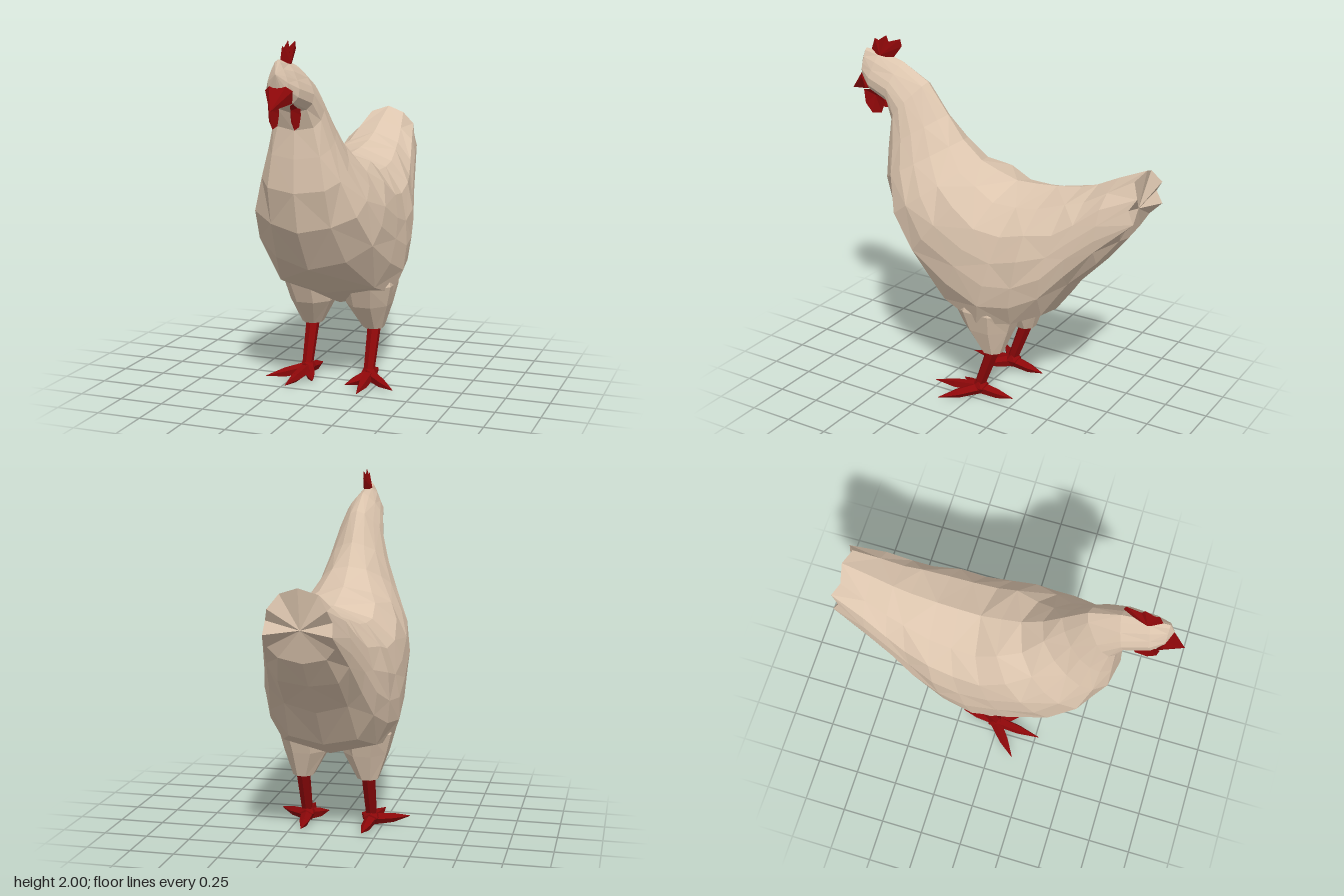
import * as THREE from 'three';
import { ConvexGeometry } from 'three/addons/geometries/ConvexGeometry.js';

const V = (x, y, z) => new THREE.Vector3(x, y, z);
const feather = new THREE.MeshStandardMaterial({ color: 0xdcc5ae });
feather.name = 'featherCream';
const red = new THREE.MeshStandardMaterial({ color: 0x8e0709 });
red.name = 'combRed';

// Faceted geometry from a list of triangle corners
function faceted(points) {
  const g = new THREE.BufferGeometry().setFromPoints(points);
  g.computeVertexNormals();
  return g;
}

function part(name, geometry, material) {
  let g = geometry;
  if (g.index) { g = g.toNonIndexed(); g.computeVertexNormals(); }
  const m = new THREE.Mesh(g, material);
  m.name = name;
  return m;
}

// Skin through closed rings of equal length, with end caps
function loft(rings, capStart, capEnd) {
  const out = [], n = rings[0].length;
  for (let i = 0; i < rings.length - 1; i++) {
    for (let j = 0; j < n; j++) {
      const k = (j + 1) % n;
      const a = rings[i][j], b = rings[i][k], c = rings[i + 1][k], d = rings[i + 1][j];
      // alternate the diagonals, symmetric across the middle
      const h = j < n / 2 ? j : n - 1 - j;
      if (((i + h) % 2 === 0) === (j < n / 2)) out.push(a, b, c, a, c, d);
      else out.push(a, b, d, b, c, d);
    }
  }
  const last = rings[rings.length - 1];
  for (let j = 0; j < n; j++) {
    const k = (j + 1) % n;
    out.push(capStart, rings[0][k], rings[0][j], capEnd, last[j], last[k]);
  }
  return faceted(out);
}

// Thin lens: outline in (z, y), swelling to +-half around a hub
function lens(outline, x, half, hubZ, hubY) {
  const out = [], p = outline.map(([z, y]) => V(x, y, z));
  const l = V(x + half, hubY, hubZ), r = V(x - half, hubY, hubZ);
  p.forEach((a, j) => {
    const b = p[(j + 1) % p.length];
    out.push(l, b, a, r, a, b);
  });
  return faceted(out);
}

// Tapered limb between two points
function limb(a, b, ra, rb, sides) {
  const d = b.clone().sub(a);
  const g = new THREE.CylinderGeometry(rb, ra, d.length(), sides);
  g.applyQuaternion(new THREE.Quaternion().setFromUnitVectors(V(0, 1, 0), d.normalize()));
  const m = a.clone().add(b).multiplyScalar(0.5);
  return g.translate(m.x, m.y, m.z);
}

// Body sections, head to tail:
// top z, top y, bottom z, bottom y, half width, roundness of the back, fullness of the underside
const SECTIONS = [
  [0.85, 1.91, 0.85, 1.72, 0.055, 0.1, 0.3],
  [0.75, 1.905, 0.80, 1.67, 0.09, 0.1, 0.5],
  [0.60, 1.865, 0.67, 1.625, 0.115, 0.2, 0.6],
  [0.43, 1.77, 0.635, 1.53, 0.135, 0.3, 0.7],
  [0.30, 1.60, 0.645, 1.38, 0.18, 0.4, 0.7],
  [0.20, 1.47, 0.65, 1.20, 0.235, 0.6, 0.5],
  [0.08, 1.37, 0.60, 0.98, 0.315, 0.8, 0.1],
  [-0.03, 1.33, 0.45, 0.75, 0.36, 1, 0.15],
  [-0.15, 1.295, 0.18, 0.56, 0.37, 1, 0.75],
  [-0.28, 1.30, -0.05, 0.45, 0.365, 1, 0.95],
  [-0.40, 1.31, -0.25, 0.48, 0.345, 1, 0.75],
  [-0.55, 1.335, -0.41, 0.57, 0.305, 1, 0.4],
  [-0.65, 1.37, -0.56, 0.78, 0.27, 1, 0.4],
  [-0.77, 1.43, -0.73, 0.96, 0.235, 1, 0.5],
  [-0.93, 1.50, -0.84, 1.10, 0.18, 1, 0.6],
];
// Across each section: height fraction, width when narrow, width when full
const PROFILE = [[0.08, 0.22, 0.56], [0.25, 0.55, 0.87], [0.42, 0.82, 0.98], [0.6, 1, 1], [0.77, 0.9, 1], [0.93, 0.5, 0.86]];
// Ragged feather tips along the tail edge
const TAIL_JAG = [0.015, -0.045, -0.02, -0.07, -0.015, 0];

function bodyGeometry() {
  let seed = 7;
  const rand = () => (seed = (seed * 16807) % 2147483647) / 2147483647 - 0.5;
  const rings = SECTIONS.map(([zt, yt, zb, yb, w, round, full], i) => {
    const side = PROFILE.map(([t, a, b], j) => {
      const u = t + rand() * 0.04;
      const p = V(w * THREE.MathUtils.lerp(a, b, t < 0.5 ? round : full) * (1 + rand() * 0.04),
        THREE.MathUtils.lerp(yt, yb, u), THREE.MathUtils.lerp(zt, zb, u));
      if (i === SECTIONS.length - 1) p.z += TAIL_JAG[j];
      return p;
    });
    const mirrored = side.map((p) => V(-p.x, p.y, p.z)).reverse();
    return [V(0, yt, zt), ...side, V(0, yb, zb), ...mirrored];
  });
  return loft(rings, V(0, 1.84, 0.88), V(0, 1.28, -0.89));
}

// Thigh rings: y, x min, x max, z back, z front
const THIGH = [
  [0.78, 0.08, 0.29, -0.22, 0.06],
  [0.58, 0.035, 0.325, -0.26, 0.12],
  [0.46, 0.05, 0.295, -0.22, 0.065],
  [0.31, 0.13, 0.245, -0.165, -0.045],
];

function thighGeometry(s) {
  const rings = THIGH.map(([y, x0, x1, z0, z1]) => Array.from({ length: 8 }, (_, j) => {
    const a = (j + 0.5) / 8 * Math.PI * 2;
    return V(s * (x0 + x1) / 2 - Math.sin(a) * (x1 - x0) * 0.54, y, (z0 + z1) / 2 + Math.cos(a) * (z1 - z0) * 0.54);
  }));
  return loft(rings, V(s * 0.19, 0.78, -0.07), V(s * 0.19, 0.31, -0.1));
}

function leg(s) {
  const g = new THREE.Group();
  g.name = s > 0 ? 'leftLeg' : 'rightLeg';
  g.add(part('thigh', thighGeometry(s), feather));
  g.add(part('shin', limb(V(s * 0.19, 0.07, -0.02), V(s * 0.19, 0.33, -0.115), 0.032, 0.04, 6), red));
  // Ankle and splayed toes
  const hub = V(s * 0.19, 0.045, -0.025);
  g.add(part('ankle', new THREE.IcosahedronGeometry(0.05, 0).translate(hub.x, 0.055, hub.z), red));
  const toes = [['outerToe', 0.385, 0.145], ['middleToe', 0.215, 0.27], ['innerToe', 0.1, 0.14], ['backToe', 0.175, -0.23]];
  for (const [name, x, z] of toes) {
    const tip = V(s * x, 0.022, z);
    const knuckle = hub.clone().lerp(tip, 0.55).setY(0.03);
    g.add(part(name, limb(hub, knuckle, 0.036, 0.028, 5), red));
    g.add(part(name + 'Claw', limb(knuckle, tip, 0.028, 0.002, 5), red));
  }
  return g;
}

export function createModel() {
  const model = new THREE.Group();
  model.name = 'hen';
  model.add(part('body', bodyGeometry(), feather));

  // Head details
  const comb = [[0.82, 1.89], [0.79, 1.975], [0.765, 1.965], [0.71, 2.0], [0.695, 1.965], [0.615, 1.99], [0.605, 1.95], [0.67, 1.87]];
  model.add(part('comb', lens(comb, 0, 0.028, 0.74, 1.885), red));
  const beak = [V(0, 1.66, 0.955), V(0, 1.675, 0.82), V(0, 1.7, 0.78)];
  for (const s of [1, -1]) {
    beak.push(V(s * 0.045, 1.778, 0.855), V(s * 0.075, 1.755, 0.835), V(s * 0.065, 1.69, 0.82));
  }
  model.add(part('beak', new ConvexGeometry(beak), red));

  const wattle = [[0.835, 1.68], [0.825, 1.6], [0.78, 1.55], [0.715, 1.56], [0.69, 1.62], [0.70, 1.66], [0.78, 1.69]];
  for (const s of [1, -1]) {
    model.add(part(s > 0 ? 'leftWattle' : 'rightWattle', lens(wattle, s * 0.06, 0.022, 0.77, 1.65), red));
    model.add(leg(s));
  }
  return model;
}
